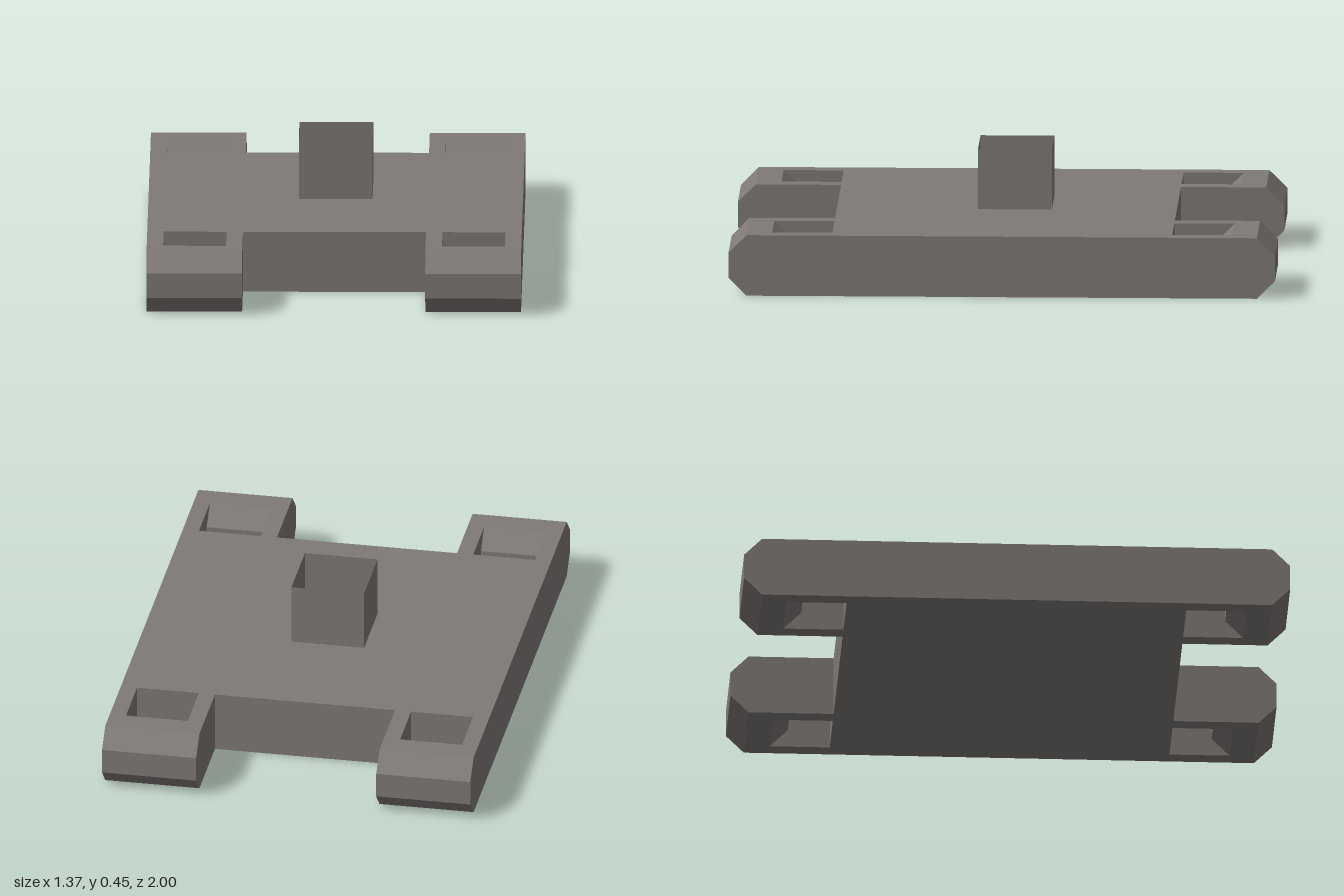
import * as THREE from 'three';

const HEIGHT = 0.225;
const BODY_END = 0.622; // z where the plate stops and the end lugs begin
const CUT = 0.066; // chamfer size

// Extrudes a [z, y] profile from x0 to x1
function extrudeAlongX(points, x0, x1) {
  const shape = new THREE.Shape(points.map(([z, y]) => new THREE.Vector2(z, y)));
  const geometry = new THREE.ExtrudeGeometry(shape, { depth: x1 - x0, bevelEnabled: false });
  geometry.rotateY(-Math.PI / 2);
  geometry.translate(x1, 0, 0);
  return geometry;
}

export function createModel() {
  const group = new THREE.Group();
  const grey = new THREE.MeshStandardMaterial({ color: 0x7f7a77, flatShading: true, side: THREE.DoubleSide });
  grey.name = 'warm grey';

  const add = (name, geometry, parent = group) => {
    const mesh = new THREE.Mesh(geometry, grey);
    mesh.name = name;
    parent.add(mesh);
    return mesh;
  };

  // Main plate
  add('plate', new THREE.BoxGeometry(1.37, HEIGHT, BODY_END * 2)).position.y = HEIGHT / 2;

  // Open square guide horn, shifted slightly to the back
  const horn = new THREE.CylinderGeometry(0.135 * Math.SQRT2, 0.135 * Math.SQRT2, HEIGHT, 4, 1, true);
  horn.rotateY(Math.PI / 4);
  add('guideHorn', horn).position.set(0, HEIGHT * 1.5, -0.03);

  // Four end lugs: two chamfered cheeks joined by an eight-sided crossbar
  for (const side of [-1, 1]) {
    for (const end of [-1, 1]) {
      const lug = new THREE.Group();
      lug.name = (end > 0 ? 'front' : 'back') + (side > 0 ? 'Left' : 'Right') + 'Lug';
      group.add(lug);

      const nose = [[1 - CUT, 0], [1, CUT], [1, HEIGHT - CUT], [1 - CUT, HEIGHT]];
      const cheek = [[BODY_END, 0], ...nose, [BODY_END, HEIGHT]];
      const inner = [[0.842, HEIGHT], [0.776, HEIGHT - CUT], [0.776, CUT], [0.842, 0]];
      const parts = [
        ['innerCheek', cheek, 0.335, 0.395],
        ['crossbar', [...nose, ...inner], 0.395, 0.625],
        ['outerCheek', cheek, 0.625, 0.685],
      ];
      for (const [name, profile, near, far] of parts) {
        const points = profile.map(([z, y]) => [z * end, y]);
        add(name, extrudeAlongX(points, Math.min(near * side, far * side), Math.max(near * side, far * side)), lug);
      }
    }
  }
  return group;
}
